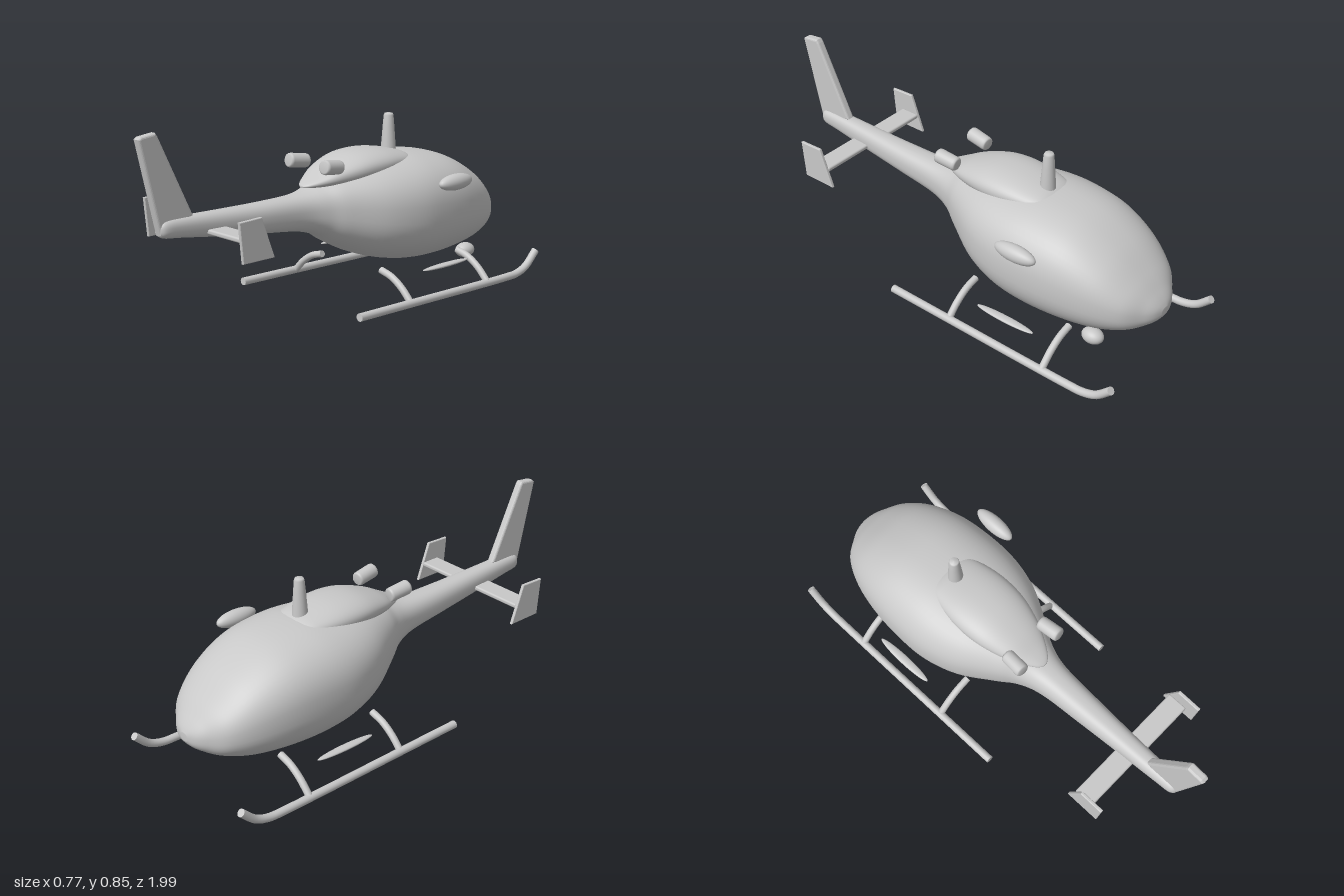
import * as THREE from 'three';
import { RoundedBoxGeometry } from 'three/addons/geometries/RoundedBoxGeometry.js';

const paint = new THREE.MeshStandardMaterial({ color: 0xc8c8c8 });
paint.name = 'light grey paint';

// Closed skin through superellipse sections given as [z, halfWidth, top, bottom].
function loft(rows, power, steps, sides = 56) {
  const curves = [1, 2, 3].map(k => new THREE.SplineCurve(rows.map(r => new THREE.Vector2(r[0], r[k]))));
  const pos = [], idx = [];
  const bend = v => Math.sign(v) * Math.abs(v) ** (2 / power);
  const mids = [];
  for (let i = 0; i <= steps; i++) {
    const [w, top, bot] = curves.map(c => c.getPoint(i / steps));
    const mid = (top.y + bot.y) / 2, h = (top.y - bot.y) / 2;
    mids.push([0, mid, w.x]);
    for (let j = 0; j < sides; j++) {
      const a = (j / sides) * Math.PI * 2;
      pos.push(w.y * bend(Math.cos(a)), mid + h * bend(Math.sin(a)), w.x);
    }
  }
  const start = pos.length / 3, last = steps * sides;
  pos.push(...mids[0], ...mids[steps]);
  for (let j = 0; j < sides; j++) {
    const k = (j + 1) % sides;
    for (let i = 0; i < steps; i++) {
      const a = i * sides + j, b = i * sides + k;
      idx.push(a, b, a + sides, b, b + sides, a + sides);
    }
    idx.push(start, k, j, start + 1, last + j, last + k);
  }
  const geo = new THREE.BufferGeometry();
  geo.setAttribute('position', new THREE.Float32BufferAttribute(pos, 3));
  geo.setIndex(idx);
  geo.computeVertexNormals();
  return geo;
}

// Plate with a [z, y] outline, extruded along x with softened edges.
function plate(outline, thickness, bevel) {
  const shape = new THREE.Shape(outline.map(([z, y]) => new THREE.Vector2(-z, y)));
  const geo = new THREE.ExtrudeGeometry(shape, {
    depth: thickness - 2 * bevel, bevelThickness: bevel, bevelSize: bevel,
    bevelOffset: -bevel, bevelSegments: 3,
  });
  geo.translate(0, 0, -thickness / 2 + bevel);
  return geo.rotateY(Math.PI / 2);
}

// Round bar along a smooth path, with flat ends.
function bar(points, radius, segments) {
  const curve = new THREE.CatmullRomCurve3(points.map(p => new THREE.Vector3(...p)));
  const group = new THREE.Group();
  group.add(new THREE.Mesh(new THREE.TubeGeometry(curve, segments, radius, 16), paint));
  [0, 1].forEach(t => {
    const cap = new THREE.Mesh(new THREE.CircleGeometry(radius, 16), paint);
    cap.position.copy(curve.getPoint(t));
    const dir = curve.getTangent(t).multiplyScalar(t ? 1 : -1);
    cap.quaternion.setFromUnitVectors(new THREE.Vector3(0, 0, 1), dir);
    group.add(cap);
  });
  return group;
}

export function createModel() {
  const model = new THREE.Group();
  model.name = 'helicopter';
  const add = (name, object) => {
    const part = object.isBufferGeometry ? new THREE.Mesh(object, paint) : object;
    part.name = name;
    model.add(part);
    return part;
  };
  const ellipsoid = (name, pos, radii) => {
    const m = add(name, new THREE.SphereGeometry(1, 32, 20));
    m.position.set(...pos);
    m.scale.set(...radii);
  };

  // Cabin flowing into the tail boom, nose towards -z
  add('fuselage', loft([
    [-0.98, 0.02, 0.29, 0.255], [-0.967, 0.065, 0.315, 0.235], [-0.94, 0.11, 0.35, 0.212],
    [-0.88, 0.185, 0.415, 0.18], [-0.77, 0.245, 0.507, 0.145], [-0.62, 0.285, 0.58, 0.125],
    [-0.45, 0.3, 0.606, 0.121], [-0.3, 0.293, 0.602, 0.138], [-0.15, 0.25, 0.585, 0.18],
    [0, 0.165, 0.55, 0.253], [0.09, 0.11, 0.515, 0.305], [0.2, 0.077, 0.495, 0.338],
    [0.4, 0.062, 0.493, 0.363], [0.6, 0.05, 0.497, 0.388], [0.8, 0.04, 0.502, 0.417],
    [0.88, 0.035, 0.5, 0.427], [0.905, 0.02, 0.485, 0.44],
  ], 2.4, 96));

  // Engine cowling on the roof
  add('engineCowling', loft([
    [-0.43, 0.1, 0.603, 0.55], [-0.38, 0.125, 0.622, 0.53], [-0.25, 0.148, 0.643, 0.51],
    [-0.12, 0.143, 0.638, 0.505], [0, 0.11, 0.602, 0.507], [0.08, 0.07, 0.562, 0.511],
    [0.13, 0.035, 0.537, 0.514], [0.148, 0.01, 0.525, 0.517],
  ], 2.2, 40));

  // Rotor mast with a rounded top
  const mast = add('rotorMast', new THREE.LatheGeometry([
    [0.036, 0.58], [0.032, 0.64], [0.026, 0.72], [0.022, 0.768], [0.018, 0.777], [0, 0.779],
  ].map(p => new THREE.Vector2(...p)), 24));
  mast.position.z = -0.378;

  // Tail fin and horizontal stabilizer
  add('tailFin', plate([
    [0.998, 0.832], [0.985, 0.842], [0.915, 0.85], [0.905, 0.835], [0.742, 0.5], [0.88, 0.43], [0.905, 0.44],
  ], 0.038, 0.01));
  const stabilizer = add('stabilizer', new RoundedBoxGeometry(0.59, 0.021, 0.093, 3, 0.008));
  stabilizer.position.set(0, 0.427, 0.646);

  for (const side of [1, -1]) {
    const label = side > 0 ? 'left' : 'right';

    // Stabilizer end plate
    const end = add(label + 'EndPlate', plate(
      [[0.75, 0.521], [0.637, 0.525], [0.572, 0.353], [0.733, 0.353]], 0.015, 0.004));
    end.position.x = side * 0.3;

    // Exhaust pipe, tilted up and outwards to the rear
    const exhaust = add(label + 'Exhaust', new THREE.LatheGeometry([
      [0, -0.053], [0.024, -0.053], [0.029, -0.048], [0.031, -0.04],
      [0.032, 0.04], [0.03, 0.048], [0.024, 0.053], [0, 0.053],
    ].map(p => new THREE.Vector2(...p)), 24));
    exhaust.position.set(side * 0.106, 0.61, 0.072);
    exhaust.quaternion.setFromUnitVectors(new THREE.Vector3(0, 1, 0),
      new THREE.Vector3(side * 0.08, 0.13, 1).normalize());

    // Landing skid with upturned toe
    const x = side * 0.368;
    add(label + 'Skid', bar([
      [x, 0.032, 0.166], [x, 0.026, -0.2], [x, 0.02, -0.55], [x, 0.018, -0.78],
      [x, 0.021, -0.85], [x, 0.043, -0.915], [x, 0.105, -0.985],
    ], 0.0175, 64));

    // Curved struts
    for (const z of [-0.148, -0.645]) {
      add(label + (z < -0.4 ? 'FrontStrut' : 'RearStrut'), bar([
        [side * 0.185, 0.137, z], [side * 0.25, 0.118, z],
        [side * 0.31, 0.08, z], [side * 0.365, 0.025, z],
      ], 0.0155, 20));
    }

    // Slim step
    ellipsoid(label + 'Step', [side * 0.32, 0.137, -0.415], [0.02, 0.009, 0.147]);
  }

  // Single pods on the left side
  ellipsoid('sidePod', [0.325, 0.502, -0.465], [0.036, 0.036, 0.101]);
  ellipsoid('searchLight', [0.15, 0.113, -0.74], [0.039, 0.034, 0.05]);

  return model;
}
